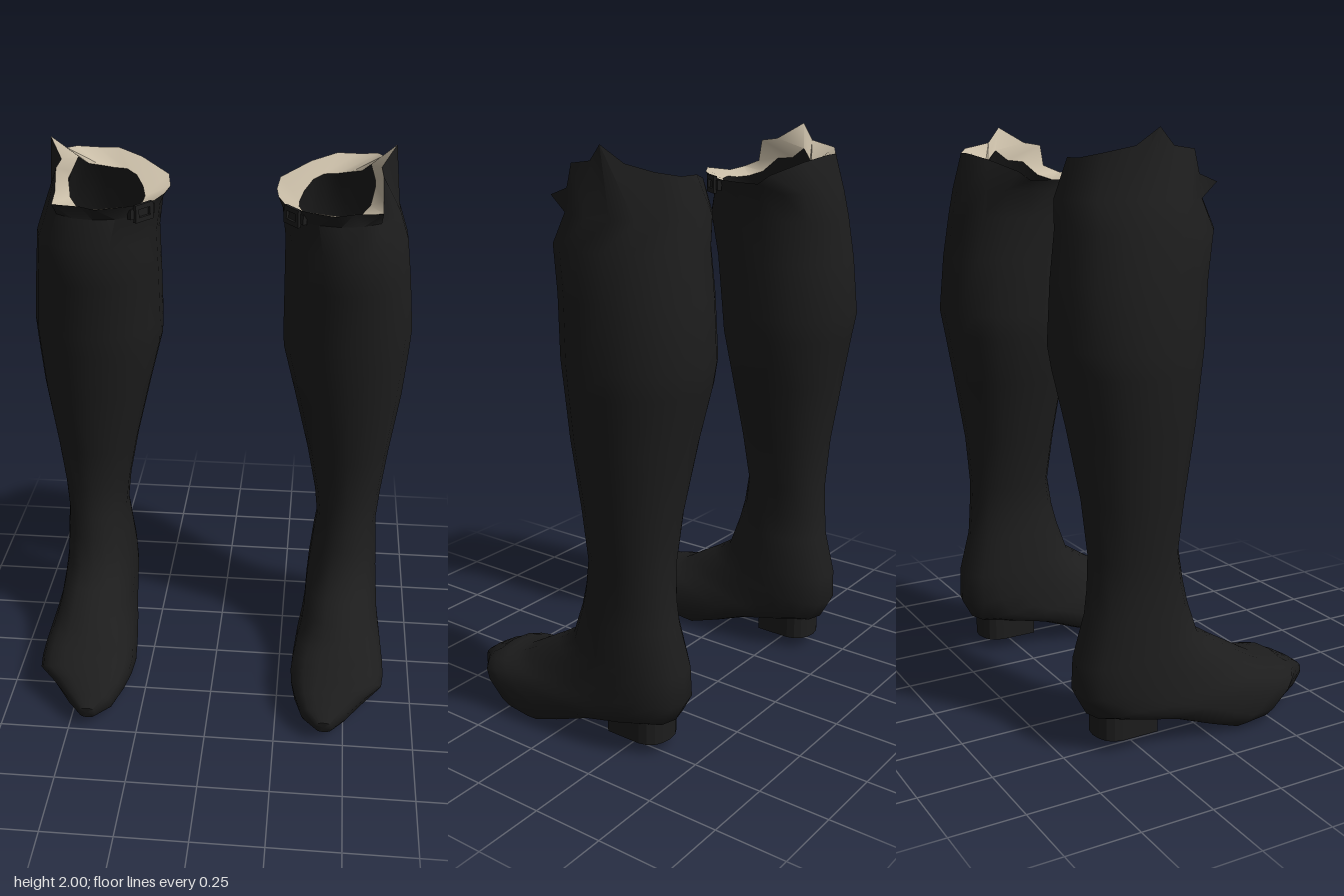
import * as THREE from 'three';
import { toCreasedNormals } from 'three/addons/utils/BufferGeometryUtils.js';

const SIDES = 18;

// Each section: [front z, front y, back z, back y, inner x, outer x, front exponent, back exponent]
const SHAFT = [
  [0.03, 1.785, -0.445, 1.785, 0.208, 0.612, 0.95],
  [0.06, 1.69, -0.455, 1.69, 0.22, 0.645, 0.95],
  [0.03, 1.54, -0.475, 1.54, 0.22, 0.665, 0.95],
  [0.01, 1.34, -0.49, 1.34, 0.22, 0.685, 0.95],
  [0.0, 1.26, -0.475, 1.26, 0.223, 0.68, 0.95],
  [-0.025, 1.08, -0.44, 1.08, 0.268, 0.665, 0.95],
  [-0.06, 0.84, -0.4, 0.84, 0.325, 0.632, 0.95],
  [-0.08, 0.66, -0.385, 0.66, 0.36, 0.612, 0.95],
  [-0.06, 0.55, -0.392, 0.55, 0.372, 0.602, 0.95],
  [-0.04, 0.47, -0.4, 0.46, 0.36, 0.607, 0.95],
];
const FOOT = [
  [0.0, 0.357, -0.44, 0.31, 0.347, 0.613, 0.9],
  [0.07, 0.312, -0.443, 0.2, 0.34, 0.618, 0.85],
  [0.15, 0.265, -0.405, 0.13, 0.337, 0.622, 0.8],
  [0.2, 0.235, -0.3, 0.11, 0.33, 0.628, 0.8, 0.65],
  [0.24, 0.212, -0.15, 0.085, 0.315, 0.636, 0.8, 0.55],
  [0.29, 0.205, -0.01, 0.035, 0.303, 0.643, 0.8, 0.5],
  [0.33, 0.197, 0.09, 0.005, 0.298, 0.645, 0.8, 0.45],
  [0.36, 0.175, 0.19, 0.015, 0.303, 0.638, 0.75, 0.45],
  [0.4, 0.155, 0.3, 0.025, 0.318, 0.575, 0.75, 0.5],
  [0.45, 0.125, 0.41, 0.03, 0.348, 0.51, 0.75, 0.55],
  [0.49, 0.095, 0.48, 0.045, 0.4, 0.46, 0.8],
  [0.487, 0.07, 0.487, 0.07, 0.43, 0.43, 1],
];
// Uneven top edge, from the front round the outer side
const RIM = [
  [0.39, 1.84, 0.09], [0.45, 1.83, 0.03], [0.545, 1.835, 0.03], [0.545, 1.86, -0.035],
  [0.54, 1.935, -0.05], [0.535, 1.945, -0.12], [0.585, 2.0, -0.2], [0.545, 1.945, -0.26],
  [0.53, 1.925, -0.36], [0.46, 1.91, -0.405], [0.39, 1.91, -0.41], [0.3, 1.89, -0.37],
  [0.195, 1.85, -0.3], [0.185, 1.82, -0.26], [0.195, 1.82, -0.17], [0.22, 1.82, -0.09],
  [0.25, 1.825, -0.03], [0.3, 1.835, 0.035],
];

const power = (v, e) => Math.sign(v) * Math.abs(v) ** e;

function section([fz, fy, bz, by, x0, x1, front, back = front], scale = 1) {
  return Array.from({ length: SIDES }, (_, i) => {
    const t = (i / SIDES) * Math.PI * 2;
    const e = Math.cos(t) < 0 ? back : front;
    const c = power(Math.cos(t), e) * scale / 2, s = power(Math.sin(t), e) * scale / 2;
    return [(x0 + x1) / 2 + (x1 - x0) * s, (fy + by) / 2 + (fy - by) * c, (fz + bz) / 2 + (fz - bz) * c];
  });
}

// Skin through closed rings; top-to-bottom order faces outward, bottom-to-top inward
function loft(rings, side) {
  const pos = [], index = [];
  rings.forEach((ring) => ring.forEach(([x, y, z]) => pos.push(x * side, y, z)));
  for (let j = 0; j < rings.length - 1; j++) {
    for (let i = 0; i < SIDES; i++) {
      const k = (i + 1) % SIDES;
      const a = j * SIDES + i, b = j * SIDES + k, c = a + SIDES, d = b + SIDES;
      if (side > 0) index.push(a, c, b, b, c, d);
      else index.push(a, b, c, b, d, c);
    }
  }
  const g = new THREE.BufferGeometry();
  g.setAttribute('position', new THREE.Float32BufferAttribute(pos, 3));
  g.setIndex(index);
  return toCreasedNormals(g, 0.9);
}

// Flat half-rounded heel block
function heelGeometry() {
  const s = new THREE.Shape();
  s.moveTo(-0.085, -0.1);
  s.lineTo(0.085, -0.1);
  s.lineTo(0.085, 0.03);
  s.quadraticCurveTo(0.08, 0.095, 0, 0.1);
  s.quadraticCurveTo(-0.08, 0.095, -0.085, 0.03);
  const g = new THREE.ExtrudeGeometry(s, { depth: 0.11, bevelEnabled: false, curveSegments: 4 });
  return g.rotateX(-Math.PI / 2);
}

function buckleGeometry() {
  const s = new THREE.Shape();
  s.moveTo(-0.04, -0.03).lineTo(0.04, -0.03).lineTo(0.04, 0.03).lineTo(-0.04, 0.03);
  const h = new THREE.Path();
  h.moveTo(-0.025, -0.014).lineTo(-0.025, 0.014).lineTo(0.025, 0.014).lineTo(0.025, -0.014);
  s.holes.push(h);
  return new THREE.ExtrudeGeometry(s, { depth: 0.012, bevelEnabled: false });
}

export function createModel() {
  const leather = new THREE.MeshStandardMaterial({ color: 0x1d1d1d });
  leather.name = 'black leather';
  const cloth = new THREE.MeshStandardMaterial({ color: 0xc8bca6, side: THREE.DoubleSide });
  cloth.name = 'beige lining';

  const model = new THREE.Group();
  model.name = 'pairOfBoots';

  for (const side of [1, -1]) {
    const boot = new THREE.Group();
    boot.name = side > 0 ? 'leftBoot' : 'rightBoot';
    const add = (name, geometry, material) => {
      const m = new THREE.Mesh(geometry, material);
      m.name = name;
      boot.add(m);
      return m;
    };

    // Leather shell from the ragged top edge down to the toe
    add('shaftAndFoot', loft([RIM, ...[...SHAFT, ...FOOT].map((r) => section(r))], side), leather);

    // Narrow beige collar, its inner edge following the rise of the rim
    const opening = section([0, 0, -0.33, 0, 0.265, 0.52, 0.95])
      .map(([x, , z], i) => [x, 1.8 + (RIM[i][1] - 1.82) * 0.65, z]);
    add('collar', loft([opening, RIM], side), cloth);

    // Dark inside of the shaft, closed at the ankle
    const inside = SHAFT.slice(1).map((r) => section(r, 0.9)).reverse();
    const floor = section([-0.22, 0.42, -0.22, 0.42, 0.485, 0.485, 1]);
    add('innerShaft', loft([floor, ...inside, opening], side), leather);

    // Heel block
    const heel = add('heel', heelGeometry(), leather);
    heel.position.set(0.475 * side, 0.045, -0.28);

    // Strap and buckle at the inner front of the top
    const fastening = new THREE.Group();
    fastening.name = 'fastening';
    const strap = new THREE.Mesh(new THREE.BoxGeometry(0.11, 0.035, 0.016), leather);
    strap.name = 'strap';
    const buckle = new THREE.Mesh(buckleGeometry(), leather);
    buckle.name = 'buckle';
    buckle.position.z = 0.006;
    fastening.add(strap, buckle);
    fastening.position.set(0.257 * side, 1.8, -0.035);
    fastening.rotation.y = -side * 0.9;
    boot.add(fastening);

    model.add(boot);
  }
  return model;
}
